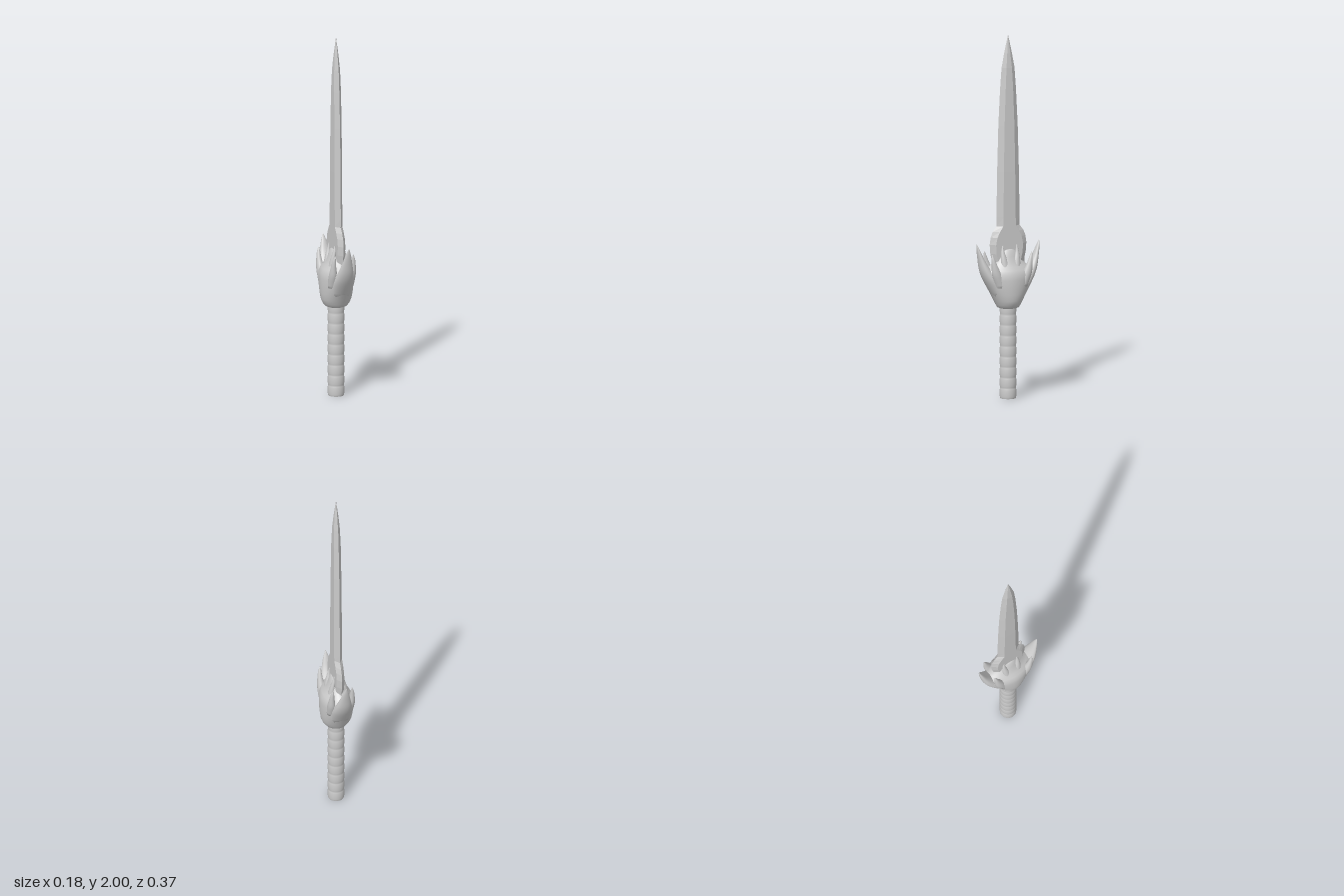
import * as THREE from 'three';

// Skin a stack of rings (each an array of [x, y, z], counter-clockwise from above) and cap both ends
function loft(rings) {
  const n = rings[0].length, pos = rings.flat(2), idx = [];
  for (let r = 0; r < rings.length - 1; r++) {
    for (let i = 0; i < n; i++) {
      const a = r * n + i, b = r * n + (i + 1) % n;
      idx.push(a, b, b + n, a, b + n, a + n);
    }
  }
  const last = (rings.length - 1) * n;
  for (let i = 1; i < n - 1; i++) {
    idx.push(0, i + 1, i, last, last + i, last + i + 1);
  }
  const geo = new THREE.BufferGeometry();
  geo.setAttribute('position', new THREE.Float32BufferAttribute(pos, 3));
  geo.setIndex(idx);
  geo.computeVertexNormals();
  return geo;
}

// Rounded ring; power 2 is an ellipse, lower values pull it towards a diamond
function ovalRing(cx, y, cz, rx, rz, power = 2, n = 40) {
  return Array.from({ length: n }, (_, i) => {
    const t = i / n * Math.PI * 2, s = Math.sin(t), c = Math.cos(t);
    return [
      cx + Math.sign(s) * Math.abs(s) ** (2 / power) * rx, y,
      cz + Math.sign(c) * Math.abs(c) ** (2 / power) * rz,
    ];
  });
}

// Curved tapering spike through stations [x, y, z, rx, rz]
function spike(stations, n = 16) {
  const mid = new THREE.CatmullRomCurve3(stations.map(s => new THREE.Vector3(s[0], s[1], s[2])));
  const rad = new THREE.CatmullRomCurve3(stations.map(s => new THREE.Vector3(s[3], s[4], 0)));
  const rings = [];
  for (let i = 0; i <= 18; i++) {
    const p = mid.getPoint(i / 18), r = rad.getPoint(i / 18);
    rings.push(ovalRing(p.x, p.y, p.z, Math.max(r.x, 0.001), Math.max(r.y, 0.001), 2, n));
  }
  return loft(rings);
}

export function createModel() {
  const model = new THREE.Group();
  const smooth = new THREE.MeshStandardMaterial({ color: 0xcccccc });
  const faceted = new THREE.MeshStandardMaterial({ color: 0xcccccc, flatShading: true });
  const add = (name, geo, mat = smooth, parent = model) => {
    const mesh = new THREE.Mesh(geo, mat);
    mesh.name = name;
    parent.add(mesh);
    return mesh;
  };

  // Grip: a cylinder with shallow wrapped bands and a flat end
  const profile = [];
  for (let i = 0; i <= 108; i++) {
    const y = i / 108 * 0.52;
    profile.push(new THREE.Vector2(0.0425 + 0.003 * Math.sqrt(Math.abs(Math.sin(y / 0.058 * Math.PI))), y));
  }
  add('grip', new THREE.LatheGeometry(profile, 40));
  const end = add('gripEnd', new THREE.CircleGeometry(0.0425, 40));
  end.rotation.x = Math.PI / 2;

  // Blade: six-sided section [y, half width, half flat, half thickness], flared above the guard
  const blade = [
    [0.62, 0.045, 0.025, 0.022], [0.70, 0.075, 0.05, 0.022], [0.75, 0.092, 0.064, 0.022],
    [0.80, 0.104, 0.076, 0.022], [0.85, 0.108, 0.079, 0.022], [0.89, 0.102, 0.071, 0.022],
    [0.92, 0.090, 0.056, 0.022], [0.95, 0.067, 0.037, 0.022], [1.00, 0.068, 0.036, 0.022],
    [1.25, 0.064, 0.033, 0.022], [1.50, 0.057, 0.029, 0.021], [1.70, 0.047, 0.022, 0.020],
    [1.82, 0.038, 0.016, 0.017], [1.90, 0.023, 0.009, 0.011], [2.00, 0.0005, 0.0002, 0.0003],
  ];
  add('blade', loft(blade.map(([y, w, f, t]) => [
    [0, y, w], [t, y, f], [t, y, -f], [0, y, -w], [-t, y, -f], [-t, y, f],
  ])), faceted);

  // Guard: swelling cup [y, half width x, half width z, roundness] closing on to the blade
  const guard = new THREE.Group();
  guard.name = 'guard';
  model.add(guard);
  const cup = [
    [0.498, 0.048, 0.048, 2], [0.503, 0.060, 0.060, 2], [0.520, 0.074, 0.070, 2],
    [0.545, 0.084, 0.082, 2], [0.580, 0.088, 0.100, 2], [0.620, 0.090, 0.122, 1.9],
    [0.660, 0.090, 0.140, 1.8], [0.690, 0.086, 0.146, 1.8], [0.712, 0.075, 0.136, 1.8],
    [0.730, 0.062, 0.110, 1.9], [0.755, 0.050, 0.078, 2], [0.785, 0.040, 0.058, 2],
    [0.815, 0.031, 0.046, 2], [0.825, 0.020, 0.030, 2],
  ];
  add('guardCup', loft(cup.map(([y, rx, rz, p]) => ovalRing(0, y, 0, rx, rz, p))), smooth, guard);

  for (const z of [1, -1]) {
    // Large horn at each edge of the blade
    add('outerHorn', spike([
      [0, 0.57, z * 0.062, 0.055, 0.032], [0, 0.65, z * 0.100, 0.056, 0.040],
      [0, 0.71, z * 0.134, 0.045, 0.031], [0, 0.77, z * 0.158, 0.029, 0.018],
      [0, 0.82, z * 0.173, 0.016, 0.010], [0, 0.857, z * 0.183, 0.003, 0.002],
    ], 24), smooth, guard);
    for (const x of [1, -1]) {
      // Medium horns at the four corners
      add('cornerHorn', spike([
        [x * 0.046, 0.62, z * 0.062, 0.028, 0.030], [x * 0.054, 0.69, z * 0.088, 0.023, 0.027],
        [x * 0.057, 0.74, z * 0.102, 0.015, 0.017], [x * 0.056, 0.78, z * 0.111, 0.009, 0.009],
        [x * 0.053, 0.806, z * 0.116, 0.002, 0.002],
      ]), smooth, guard);
      // Small prongs gripping the blade faces
      add('bladeProng', spike([
        [x * 0.042, 0.70, z * 0.030, 0.022, 0.026], [x * 0.034, 0.77, z * 0.038, 0.014, 0.017],
        [x * 0.027, 0.81, z * 0.042, 0.009, 0.010], [x * 0.024, 0.845, z * 0.041, 0.002, 0.003],
      ]), smooth, guard);
    }
  }
  return model;
}
